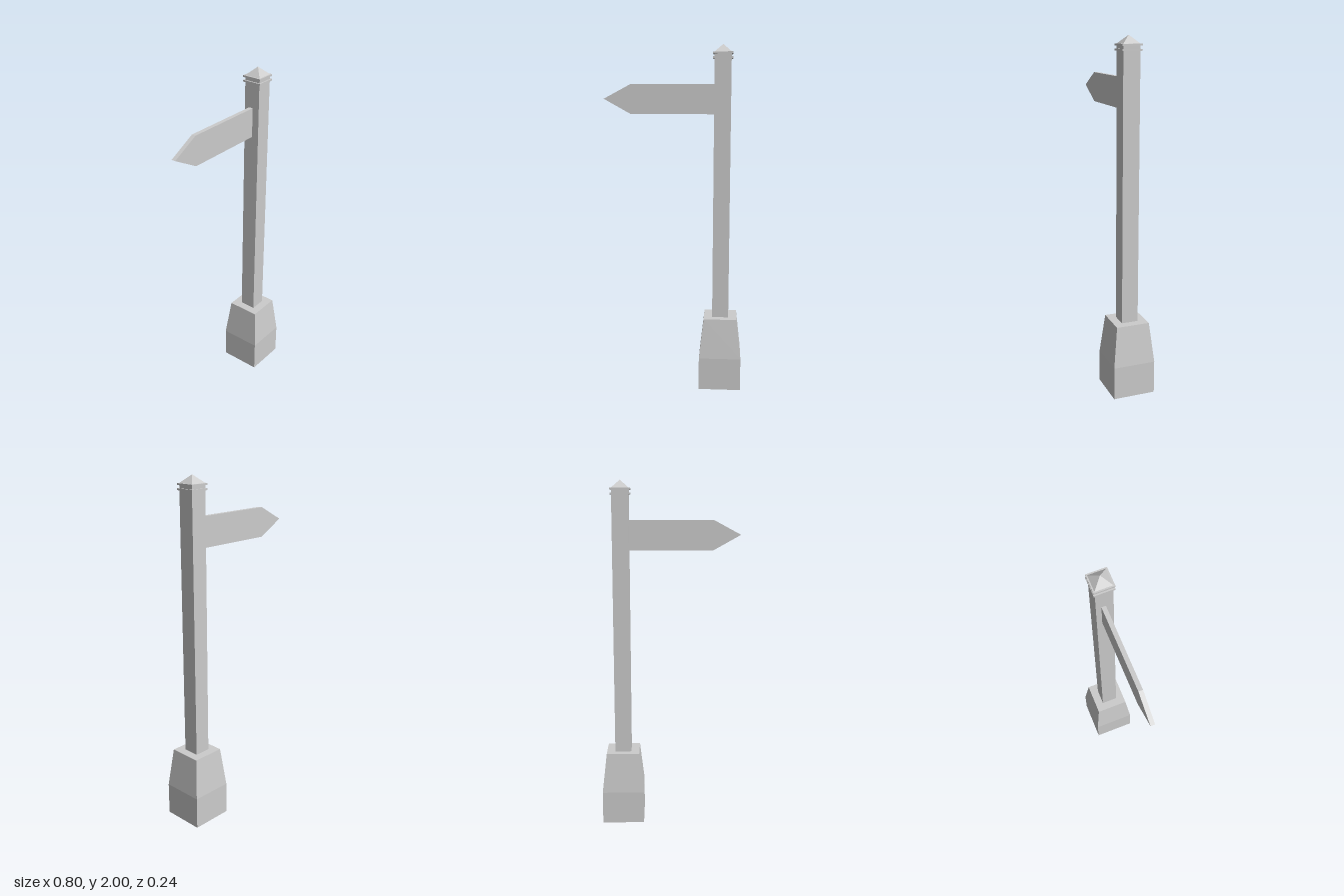
import * as THREE from 'three';

const POST_X = 0.28;
const material = new THREE.MeshStandardMaterial({ color: 0xcccccc, flatShading: true });

// Square solid from a profile of [half width, height] pairs, bottom to top
function squareSolid(name, profile) {
  const points = profile.map(([half, y]) => new THREE.Vector2(half * Math.SQRT2, y));
  const mesh = new THREE.Mesh(new THREE.LatheGeometry(points, 4, Math.PI / 4), material);
  mesh.name = name;
  mesh.position.x = POST_X;
  return mesh;
}

const block = (name, half, y0, y1) =>
  squareSolid(name, [[0, y0], [half, y0], [half, y1], [0, y1]]);

export function createModel() {
  const group = new THREE.Group();
  group.name = 'signpost';

  // Footing: straight below, tapered above
  group.add(squareSolid('footing', [[0, 0], [0.122, 0], [0.122, 0.19], [0.096, 0.422], [0, 0.422]]));

  // Post with two thin collar plates and a pyramid finial
  group.add(block('post', 0.0475, 0.422, 1.95));
  group.add(block('lowerCollar', 0.056, 1.92, 1.93));
  group.add(block('upperCollar', 0.056, 1.946, 1.956));
  group.add(squareSolid('finial', [[0, 1.956], [0.048, 1.956], [0, 2]]));

  // Pointed direction board, set slightly behind the post's centre
  const outline = new THREE.Shape([
    [0.235, 1.61], [0.235, 1.78], [-0.246, 1.78], [-0.402, 1.697], [-0.246, 1.61],
  ].map(([x, y]) => new THREE.Vector2(x, y)));
  const board = new THREE.Mesh(
    new THREE.ExtrudeGeometry(outline, { depth: 0.024, bevelEnabled: false }), material);
  board.name = 'directionBoard';
  board.position.z = -0.018;
  group.add(board);

  return group;
}
